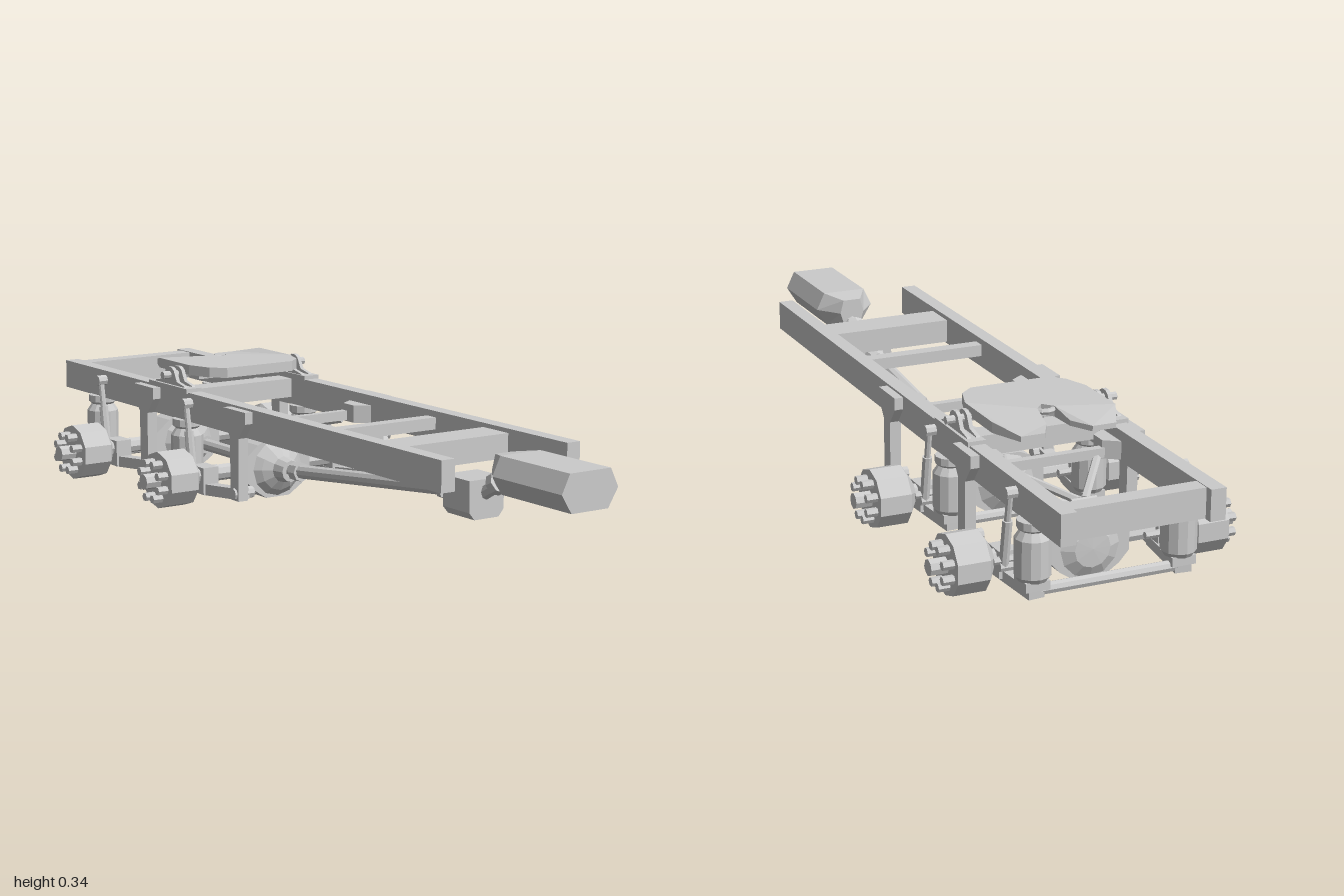
import * as THREE from 'three';

const mat = new THREE.MeshStandardMaterial({ color: 0xcccccc, flatShading: true, side: THREE.DoubleSide });

function add(parent, name, geo, x = 0, y = 0, z = 0) {
  const m = new THREE.Mesh(geo, mat);
  m.name = name;
  m.position.set(x, y, z);
  parent.add(m);
  return m;
}
const box = (p, name, w, h, d, x, y, z) => add(p, name, new THREE.BoxGeometry(w, h, d), x, y, z);

// Cylinder or cone between two points
function rod(p, name, a, b, r, sides = 8, r2 = r) {
  const A = new THREE.Vector3(...a), B = new THREE.Vector3(...b), d = B.clone().sub(A);
  const m = add(p, name, new THREE.CylinderGeometry(r2, r, d.length(), sides));
  m.position.copy(A).add(B).multiplyScalar(0.5);
  m.quaternion.setFromUnitVectors(new THREE.Vector3(0, 1, 0), d.normalize());
  return m;
}

// Rectangular bar between two points
function bar(p, name, a, b, w, h) {
  const A = new THREE.Vector3(...a), B = new THREE.Vector3(...b);
  const m = add(p, name, new THREE.BoxGeometry(w, h, A.distanceTo(B)));
  m.position.copy(A).add(B).multiplyScalar(0.5);
  m.lookAt(B);
  return m;
}

const shapeOf = pts => new THREE.Shape(pts.map(q => new THREE.Vector2(...q)));
const extrude = (shape, depth) => new THREE.ExtrudeGeometry(shape, { depth, bevelEnabled: false, curveSegments: 6 });
// Side profile in (z, y), thickness t along x centred on x
function sidePlate(p, name, pts, t, x, y, z) {
  const g = extrude(shapeOf(pts.map(([a, b]) => [-a, b])), t);
  g.translate(0, 0, -t / 2).rotateY(Math.PI / 2);
  return add(p, name, g, x, y, z);
}
// Lathe turned so that its axis runs along +x (dir 1), -x (dir -1)
function latheX(p, name, pts, sides, dir, x, y, z) {
  const g = new THREE.LatheGeometry(pts.map(q => new THREE.Vector2(...q)), sides);
  g.rotateY(Math.PI / sides).rotateZ(-dir * Math.PI / 2);
  return add(p, name, g, x, y, z);
}

function buildFrame() {
  const g = new THREE.Group();
  g.name = 'frame';
  for (const s of [-1, 1]) box(g, 'frameRail', 0.038, 0.075, 1.73, s * 0.181, 0.243, -0.135);
  box(g, 'rearCrossmember', 0.33, 0.072, 0.045, 0, 0.243, -0.957);
  box(g, 'middleCrossmember', 0.33, 0.03, 0.035, 0, 0.25, 0.213);
  box(g, 'frontCrossmember', 0.33, 0.06, 0.095, 0, 0.24, 0.467);
  return g;
}

function buildDriveline() {
  const g = new THREE.Group();
  g.name = 'driveline';
  // Six-sided transmission housing, tapering at its rear
  const six = [[-0.058, 0.28], [0.058, 0.28], [0.08, 0.235], [0.052, 0.19], [-0.052, 0.19], [-0.08, 0.235]];
  add(g, 'transmission', extrude(shapeOf(six), 0.24), 0, 0, 0.76);
  const taper = extrude(shapeOf(six.map(([x, y]) => [x, y - 0.235])), 0.06);
  const p = taper.attributes.position;
  for (let i = 0; i < p.count; i++)
    if (p.getZ(i) < 0.01) p.setXY(i, p.getX(i) * 0.42, p.getY(i) * 0.8);
  taper.computeVertexNormals();
  add(g, 'transmissionTail', taper, 0, 0.235, 0.7);
  rod(g, 'outputShaft', [0, 0.21, 0.71], [0, 0.165, 0.63], 0.017);
  rod(g, 'outputFlange', [0, 0.203, 0.69], [0, 0.193, 0.67], 0.028);
  // Transfer box
  const cs = [[-0.05, 0.125], [-0.035, 0.107], [0.035, 0.107], [0.05, 0.125], [0.05, 0.2], [-0.05, 0.2]];
  add(g, 'transferBox', extrude(shapeOf(cs), 0.1), 0, 0, 0.54);
  rod(g, 'transferNeck', [0, 0.15, 0.55], [0, 0.15, 0.51], 0.036, 8, 0.022);
  // Propeller shafts with joints
  rod(g, 'frontJoint', [0, 0.152, 0.52], [0, 0.15, 0.46], 0.016);
  rod(g, 'frontYoke', [0, 0.151, 0.49], [0, 0.15, 0.475], 0.025);
  rod(g, 'mainShaft', [0, 0.15, 0.47], [0, 0.087, -0.13], 0.018, 10);
  rod(g, 'rearYoke', [0, 0.087, -0.12], [0, 0.085, -0.15], 0.025);
  rod(g, 'rearJoint', [0, 0.086, -0.14], [0, 0.085, -0.2], 0.015);
  rod(g, 'interAxleShaft', [0, 0.085, -0.31], [0, 0.085, -0.63], 0.017, 10);
  for (const z of [-0.37, -0.58]) rod(g, 'shaftYoke', [0, 0.085, z], [0, 0.085, z - 0.025], 0.025);
  return g;
}

function buildAxle() {
  const g = new THREE.Group();
  g.name = 'axle';
  rod(g, 'axleTube', [-0.25, 0.081, 0], [0.25, 0.081, 0], 0.02);
  // Differential: faceted banjo, rear cover and tapering pinion nose
  const banjo = [[-0.1, 0.058], [-0.075, 0.03], [-0.035, 0.004], [0.035, 0.004], [0.075, 0.03], [0.1, 0.058],
    [0.1, 0.112], [0.06, 0.145], [0.035, 0.155], [-0.035, 0.155], [-0.06, 0.145], [-0.1, 0.112]];
  add(g, 'differentialHousing', extrude(shapeOf(banjo), 0.07), 0, 0, -0.035);
  const prof = [[0, -0.052], [0.045, -0.05], [0.074, -0.035], [0.074, 0.035], [0.058, 0.05], [0.034, 0.065], [0.028, 0.1], [0.016, 0.1], [0.016, 0.06]];
  const nose = new THREE.LatheGeometry(prof.map(q => new THREE.Vector2(...q)), 12).rotateX(Math.PI / 2);
  add(g, 'differentialCarrier', nose, 0, 0.081, 0);
  box(g, 'topBracket', 0.05, 0.035, 0.045, 0, 0.165, 0);
  rod(g, 'topPin', [-0.032, 0.178, 0], [0.032, 0.178, 0], 0.01);
  for (const s of [-1, 1]) {
    // Brake drum, hub and wheel studs
    latheX(g, 'brakeDrum', [[0, 0], [0.034, 0], [0.073, 0.025], [0.073, 0.104], [0, 0.104]], 10, s, s * 0.236, 0.081, 0);
    rod(g, 'hub', [s * 0.33, 0.081, 0], [s * 0.382, 0.081, 0], 0.02);
    for (let i = 0; i < 8; i++) {
      const a = (i + 0.5) * Math.PI / 4, y = 0.081 + 0.047 * Math.sin(a), z = 0.047 * Math.cos(a);
      rod(g, 'wheelStud', [s * 0.335, y, z], [s * 0.368, y, z], 0.011, 6);
    }
    // Axle seat and brake actuator
    box(g, 'axleSeat', 0.045, 0.065, 0.06, s * 0.2, 0.07, 0);
    rod(g, 'brakeCam', [s * 0.14, 0.085, -0.035], [s * 0.24, 0.085, -0.035], 0.009, 6);
  }
  return g;
}

// Air suspension for one axle, centred on the axle's z
function buildSuspension() {
  const g = new THREE.Group();
  g.name = 'suspension';
  for (const s of [-1, 1]) {
    // Hanger: flared plate on the rail and a column down to the beam eye
    sidePlate(g, 'hanger', [[0.05, 0.275], [0.05, 0.245], [0.02, 0.205], [0.018, 0.045], [-0.018, 0.045], [-0.02, 0.205], [-0.05, 0.245], [-0.05, 0.275]],
      0.028, s * 0.208, 0, 0.177);
    rod(g, 'beamEye', [s * 0.17, 0.062, 0.177], [s * 0.228, 0.062, 0.177], 0.015);
    // Trailing beam in two bends
    bar(g, 'trailingBeam', [s * 0.203, 0.062, 0.19], [s * 0.2, 0.045, 0.02], 0.032, 0.028);
    bar(g, 'trailingBeamEnd', [s * 0.2, 0.045, 0.03], [s * 0.183, 0.04, -0.14], 0.04, 0.026);
    box(g, 'springSeat', 0.06, 0.022, 0.06, s * 0.182, 0.057, -0.115);
    // Air spring
    const bag = [[0, 0], [0.034, 0], [0.042, 0.012], [0.042, 0.1], [0.034, 0.112], [0.03, 0.118], [0.037, 0.124], [0.037, 0.142], [0, 0.142]];
    add(g, 'airSpring', new THREE.LatheGeometry(bag.map(q => new THREE.Vector2(...q)), 12), s * 0.182, 0.065, -0.115);
    // Shock absorber
    rod(g, 'shockBody', [s * 0.214, 0.07, -0.035], [s * 0.214, 0.185, -0.053], 0.012);
    rod(g, 'shockRod', [s * 0.214, 0.18, -0.052], [s * 0.214, 0.255, -0.065], 0.008);
    rod(g, 'shockTopMount', [s * 0.19, 0.255, -0.065], [s * 0.226, 0.255, -0.065], 0.014);
    rod(g, 'shockLowerMount', [s * 0.18, 0.07, -0.035], [s * 0.226, 0.07, -0.035], 0.013);
    // Gusset inside the rail and one arm of the V-shaped torque rod
    const gus = extrude(shapeOf([[s * 0.165, -0.05], [s * 0.165, 0.05], [s * 0.125, 0.022], [s * 0.125, -0.022]]), 0.045);
    add(g, 'railGusset', gus.rotateX(-Math.PI / 2), 0, 0.21, 0.177);
    rod(g, 'torqueRod', [s * 0.115, 0.215, 0.16], [s * 0.008, 0.178, 0.01], 0.01, 6);
  }
  bar(g, 'upperCrossBar', [-0.13, 0.225, 0.16], [0.13, 0.225, 0.16], 0.02, 0.024);
  rod(g, 'lowerCrossBar', [-0.18, 0.042, -0.125], [0.18, 0.042, -0.125], 0.014);
  return g;
}

function buildCoupling() {
  const g = new THREE.Group();
  g.name = 'couplingPlate';
  // Horned plate with throat; shape y is -z
  const half = [[0.1, 0.315], [0.135, 0.345], [0.157, 0.41], [0.157, 0.56], [0.12, 0.635], [0.06, 0.635], [0.03, 0.58], [0.022, 0.515]];
  const pts = [...half, [0, 0.49], ...half.map(([x, z]) => [-x, z]).reverse()];
  const plate = extrude(shapeOf(pts), 0.026).rotateX(-Math.PI / 2);
  const p = plate.attributes.position;
  // Ramp the horns downwards
  for (let i = 0; i < p.count; i++)
    if (p.getZ(i) < -0.565) p.setY(i, p.getY(i) * 0.5 - 0.003);
  plate.computeVertexNormals();
  add(g, 'topPlate', plate, 0, 0.314, 0);
  box(g, 'plateRib', 0.25, 0.016, 0.05, 0, 0.307, -0.44);
  add(g, 'lockJaw', new THREE.TorusGeometry(0.024, 0.007, 6, 12).rotateX(Math.PI / 2), 0, 0.332, -0.5);
  for (const s of [-1, 1]) {
    // Pivot lugs, pin and mounting foot
    for (const x of [0.17, 0.193])
      sidePlate(g, 'pivotLug', [[0.085, 0.28], [0.07, 0.293], [0.035, 0.3], [0.02, 0.328], [0.008, 0.335], [-0.008, 0.335], [-0.02, 0.328], [-0.035, 0.3], [-0.07, 0.293], [-0.085, 0.28]],
        0.01, s * x, 0, -0.44);
    rod(g, 'pivotPin', [s * 0.14, 0.315, -0.44], [s * 0.22, 0.315, -0.44], 0.01);
    box(g, 'mountingFoot', 0.045, 0.012, 0.19, s * 0.183, 0.284, -0.44);
  }
  box(g, 'mountCrossmember', 0.33, 0.05, 0.06, 0, 0.25, -0.44);
  return g;
}

export function createModel() {
  const model = new THREE.Group();
  model.name = 'truckChassis';
  model.add(buildFrame(), buildDriveline(), buildCoupling());
  // Tandem axles
  for (const z of [-0.268, -0.713]) {
    for (const part of [buildAxle(), buildSuspension()]) {
      part.position.z = z;
      model.add(part);
    }
  }
  return model;
}
